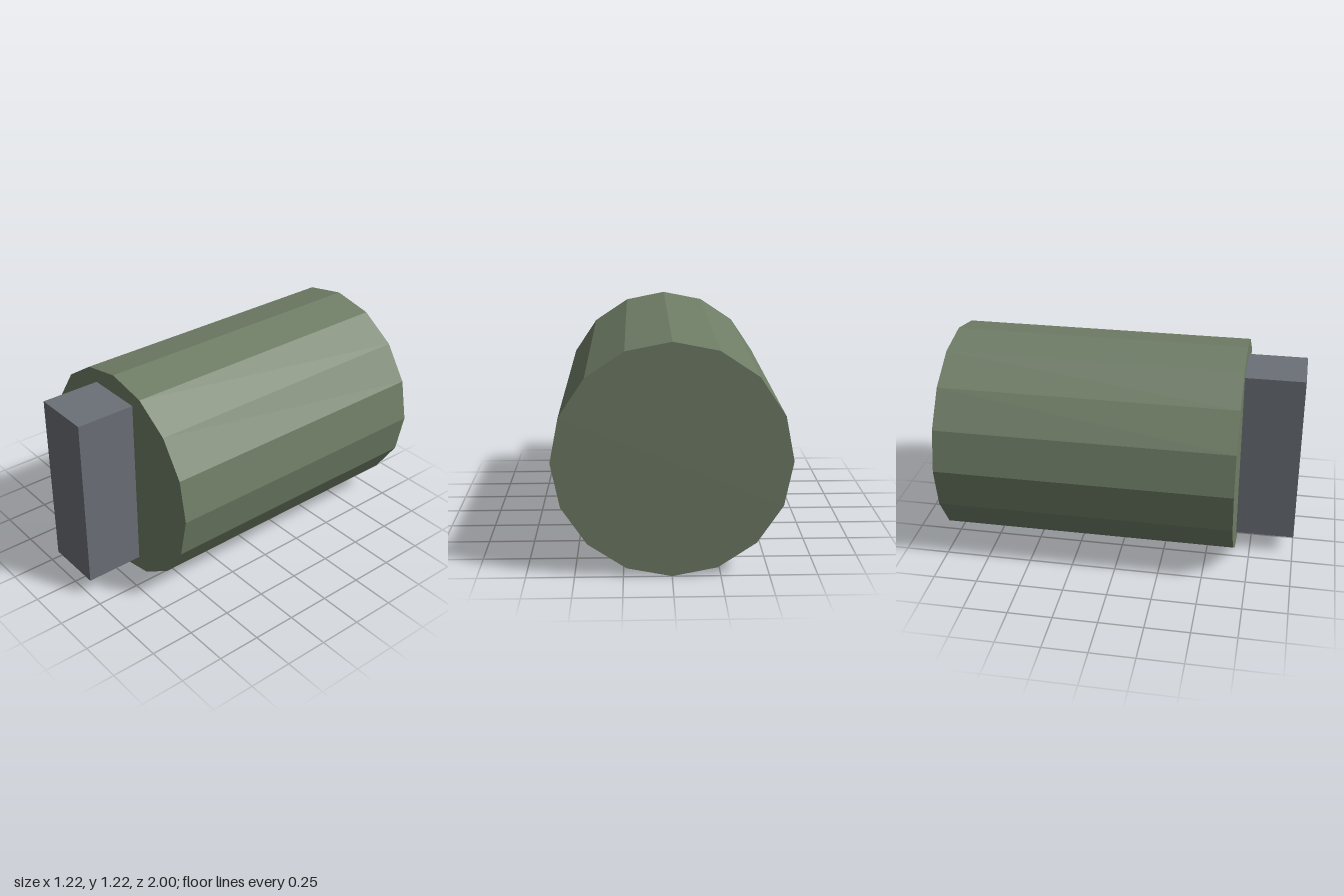
import * as THREE from 'three';

export function createModel() {
  const model = new THREE.Group();
  const radius = 0.611, back = -1, face = 0.667, front = 1;

  const add = (name, geometry, color, z) => {
    const material = new THREE.MeshStandardMaterial({ color, flatShading: true });
    const mesh = new THREE.Mesh(geometry, material);
    mesh.name = name;
    mesh.position.set(0, radius, z);
    model.add(mesh);
  };

  // Sixteen-sided drum lying along z, with a corner at the top
  const drum = new THREE.CylinderGeometry(radius, radius, face - back, 16).rotateX(Math.PI / 2);
  add('drumBody', drum, 0x6f7d66, (back + face) / 2);

  // Upright grip bar on the front face
  add('gripBar', new THREE.BoxGeometry(0.333, 1, front - face), 0x6b7077, (face + front) / 2);

  return model;
}
